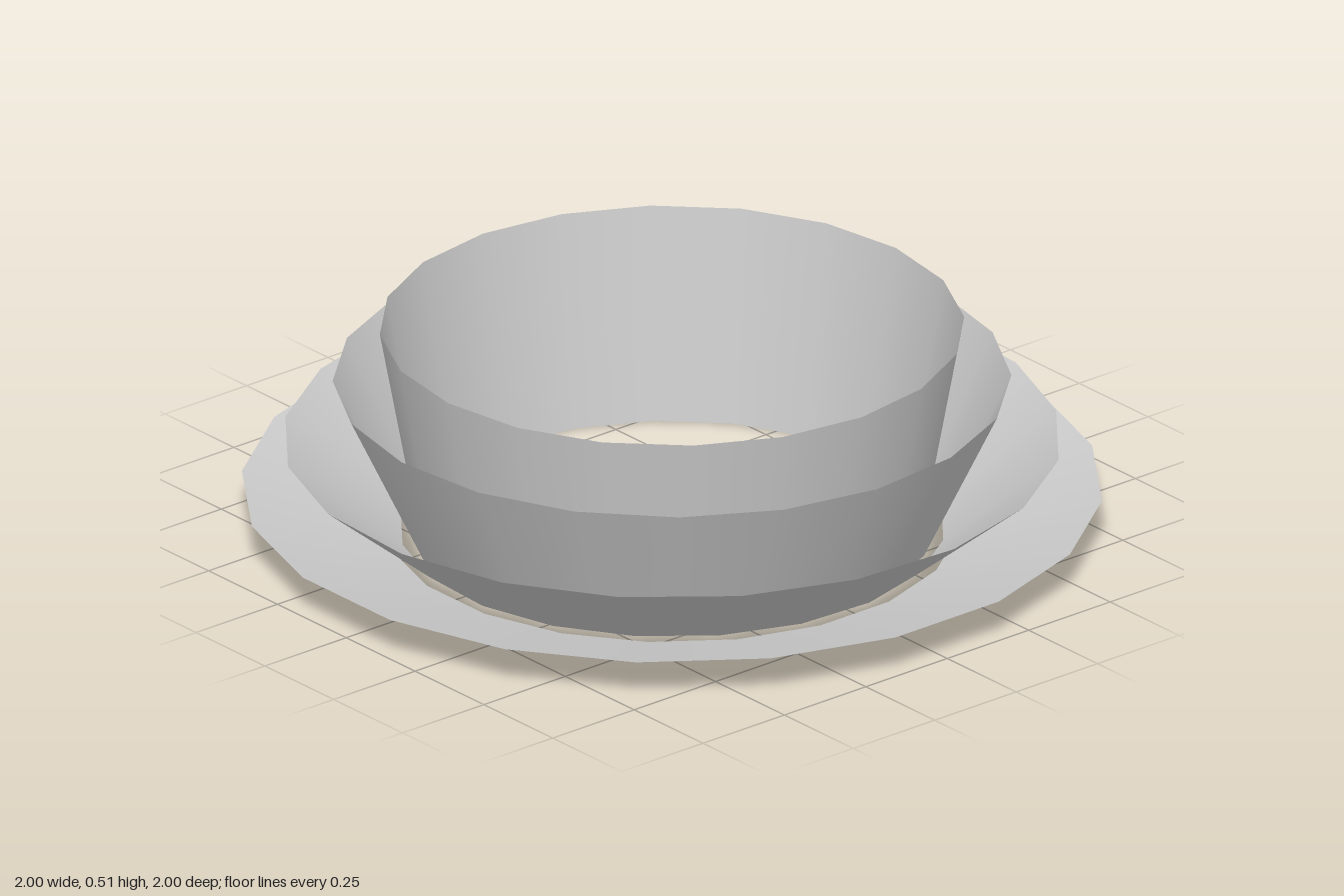
import * as THREE from 'three';

const SIDES = 20;

// Nested open collars, innermost first: top radius, bottom radius, height, twist in degrees
const RINGS = [
  { name: 'innerCollar', top: 0.687, bottom: 0.594, height: 0.512, twist: 0 },
  { name: 'secondCollar', top: 0.796, bottom: 0.617, height: 0.377, twist: -3 },
  { name: 'thirdCollar', top: 0.915, bottom: 0.642, height: 0.222, twist: 6 },
  { name: 'outerBrim', top: 1.012, bottom: 0.672, height: 0.1, twist: -9 },
];

export function createModel() {
  const model = new THREE.Group();
  model.name = 'nestedRings';
  const material = new THREE.MeshStandardMaterial({ color: 0xcccccc, side: THREE.DoubleSide });

  // Each collar is a thin flared band standing on the ground
  for (const { name, top, bottom, height, twist } of RINGS) {
    const geometry = new THREE.CylinderGeometry(top, bottom, height, SIDES, 1, true);
    geometry.translate(0, height / 2, 0);
    const ring = new THREE.Mesh(geometry, material);
    ring.name = name;
    ring.rotation.y = THREE.MathUtils.degToRad(twist);
    model.add(ring);
  }
  return model;
}
